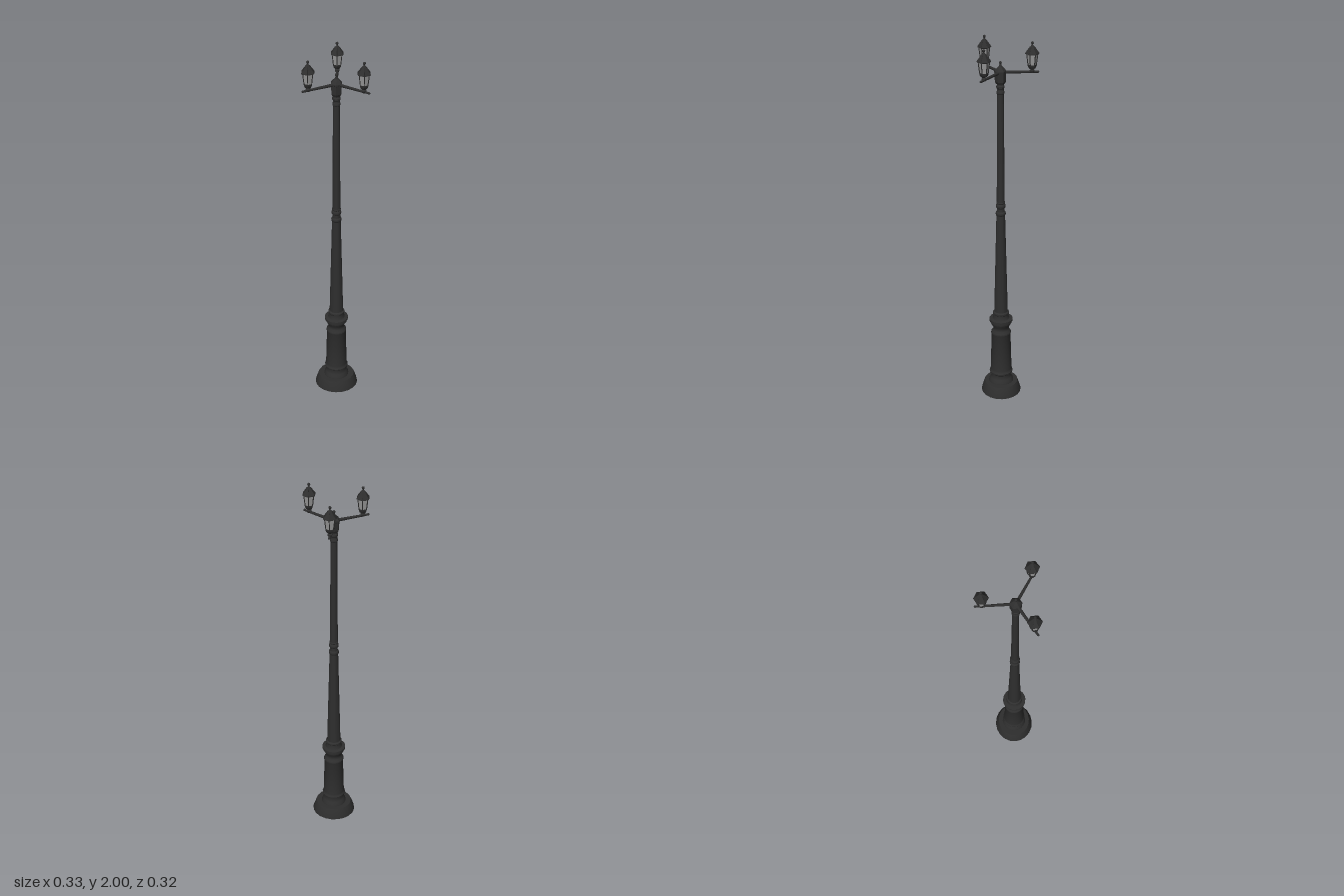
import * as THREE from 'three';
import { toCreasedNormals } from 'three/addons/utils/BufferGeometryUtils.js';

const iron = new THREE.MeshStandardMaterial({ color: 0x2e2e2e });
const pane = new THREE.MeshStandardMaterial({ color: 0x999999 });

function add(parent, name, geometry, material = iron) {
  const mesh = new THREE.Mesh(geometry, material);
  mesh.name = name;
  parent.add(mesh);
  return mesh;
}

// Turned part from [radius, height] pairs, bottom to top
function turned(points, sides, crease = 0.6) {
  const profile = points.map(([r, y]) => new THREE.Vector2(r, y));
  return toCreasedNormals(new THREE.LatheGeometry(profile, sides), crease);
}

// Straight rod between two points
function rod(a, b, r0, r1, sides = 8) {
  const dir = b.clone().sub(a);
  const g = new THREE.CylinderGeometry(r1, r0, dir.length(), sides);
  g.applyQuaternion(new THREE.Quaternion().setFromUnitVectors(new THREE.Vector3(0, 1, 0), dir.clone().normalize()));
  const mid = a.clone().add(b).multiplyScalar(0.5);
  return g.translate(mid.x, mid.y, mid.z);
}

function ball(r, y) {
  return new THREE.SphereGeometry(r, 10, 8).translate(0, y, 0);
}

// Six-sided lantern; heights start at the arm
function createLantern() {
  const lantern = new THREE.Group();
  lantern.name = 'lantern';
  add(lantern, 'lanternFoot', turned([
    [0, -0.004], [0.009, -0.004], [0.013, 0.004], [0.013, 0.009], [0.008, 0.013],
    [0.016, 0.018], [0.021, 0.027], [0.023, 0.034], [0.023, 0.038], [0, 0.038],
  ], 6, 0.3));
  add(lantern, 'lanternGlass', turned([[0.019, 0.037], [0.026, 0.092]], 6, 0.3), pane);
  // Corner bars
  for (let i = 0; i < 6; i++) {
    const a = i * Math.PI / 3;
    const at = (r, y) => new THREE.Vector3(r * Math.sin(a), y, r * Math.cos(a));
    add(lantern, 'cornerBar', rod(at(0.021, 0.036), at(0.028, 0.093), 0.0025, 0.0025, 6));
    add(lantern, 'roofRib', rod(at(0.034, 0.097), at(0.011, 0.129), 0.0015, 0.0015, 5));
  }
  add(lantern, 'lanternRoof', turned([
    [0, 0.09], [0.029, 0.09], [0.036, 0.093], [0.035, 0.097], [0.022, 0.114],
    [0.012, 0.129], [0.009, 0.132], [0.004, 0.138], [0.003, 0.146], [0, 0.146],
  ], 6, 0.3));
  add(lantern, 'lanternFinial', ball(0.0075, 0.1485));
  return lantern;
}

export function createModel() {
  const model = new THREE.Group();
  model.name = 'streetLamp';
  const post = new THREE.Group();
  post.name = 'post';
  post.position.z = 0.035;
  model.add(post);

  // Wide plinth, slightly narrower front to back
  add(post, 'plinth', turned([
    [0, 0], [0.118, 0], [0.116, 0.012], [0.102, 0.052], [0.098, 0.06], [0, 0.06],
  ], 20)).scale.z = 0.925;

  // Moulded pedestal
  add(post, 'pedestal', turned([
    [0.068, 0.058], [0.067, 0.068], [0.057, 0.082], [0.053, 0.094], [0.054, 0.108],
    [0.063, 0.116], [0.064, 0.124], [0.059, 0.132], [0.058, 0.14], [0.052, 0.355],
    [0.055, 0.362], [0.054, 0.37], [0.044, 0.382], [0.042, 0.392], [0.046, 0.405],
    [0.058, 0.425], [0.058, 0.436], [0.064, 0.438], [0.064, 0.45], [0.046, 0.453],
    [0.041, 0.465], [0.041, 0.478], [0.044, 0.482], [0.044, 0.49], [0.037, 0.496],
  ], 20));

  // Tapering shaft with collars
  add(post, 'lowerShaft', turned([[0.037, 0.494], [0.023, 1.065]], 20));
  add(post, 'middleCollar', turned([
    [0.022, 1.063], [0.026, 1.068], [0.027, 1.075], [0.026, 1.082], [0.021, 1.088],
    [0.02, 1.105], [0.025, 1.111], [0.026, 1.118], [0.025, 1.124], [0.02, 1.13],
    [0.023, 1.134], [0.023, 1.14], [0.019, 1.143],
  ], 20));
  add(post, 'upperShaft', turned([[0.021, 1.14], [0.017, 1.73]], 20));
  add(post, 'topCollar', turned([
    [0.016, 1.728], [0.02, 1.733], [0.02, 1.743], [0.017, 1.748], [0.017, 1.758],
    [0.021, 1.763], [0.021, 1.772], [0.017, 1.777], [0.017, 1.79],
  ], 20));

  // Six-sided head with pointed cap
  add(post, 'head', turned([
    [0, 1.783], [0.022, 1.783], [0.028, 1.795], [0.029, 1.84], [0.031, 1.842],
    [0.031, 1.85], [0.02, 1.864], [0.008, 1.875], [0.004, 1.887], [0, 1.887],
  ], 6, 0.3));
  add(post, 'headFinial', ball(0.0075, 1.892));

  // Three arms, each carrying a lantern: [x, z] from the post
  const armY = 1.843;
  for (const [x, z, turn] of [[0, -0.159, 0], [-0.135, 0.076, 0], [0.135, 0.085, 0.05]]) {
    const arm = new THREE.Group();
    arm.name = 'arm';
    post.add(arm);
    const seat = new THREE.Vector3(x, armY, z);
    const dir = new THREE.Vector3(x, 0, z).normalize();
    const tip = seat.clone().addScaledVector(dir, 0.03);
    add(arm, 'armRod', rod(new THREE.Vector3(0, armY, 0), tip, 0.0085, 0.0055));
    add(arm, 'armTip', new THREE.SphereGeometry(0.006, 8, 6)).position.copy(tip);
    const lantern = createLantern();
    lantern.position.copy(seat);
    lantern.rotation.y = turn;
    arm.add(lantern);
  }
  return model;
}
